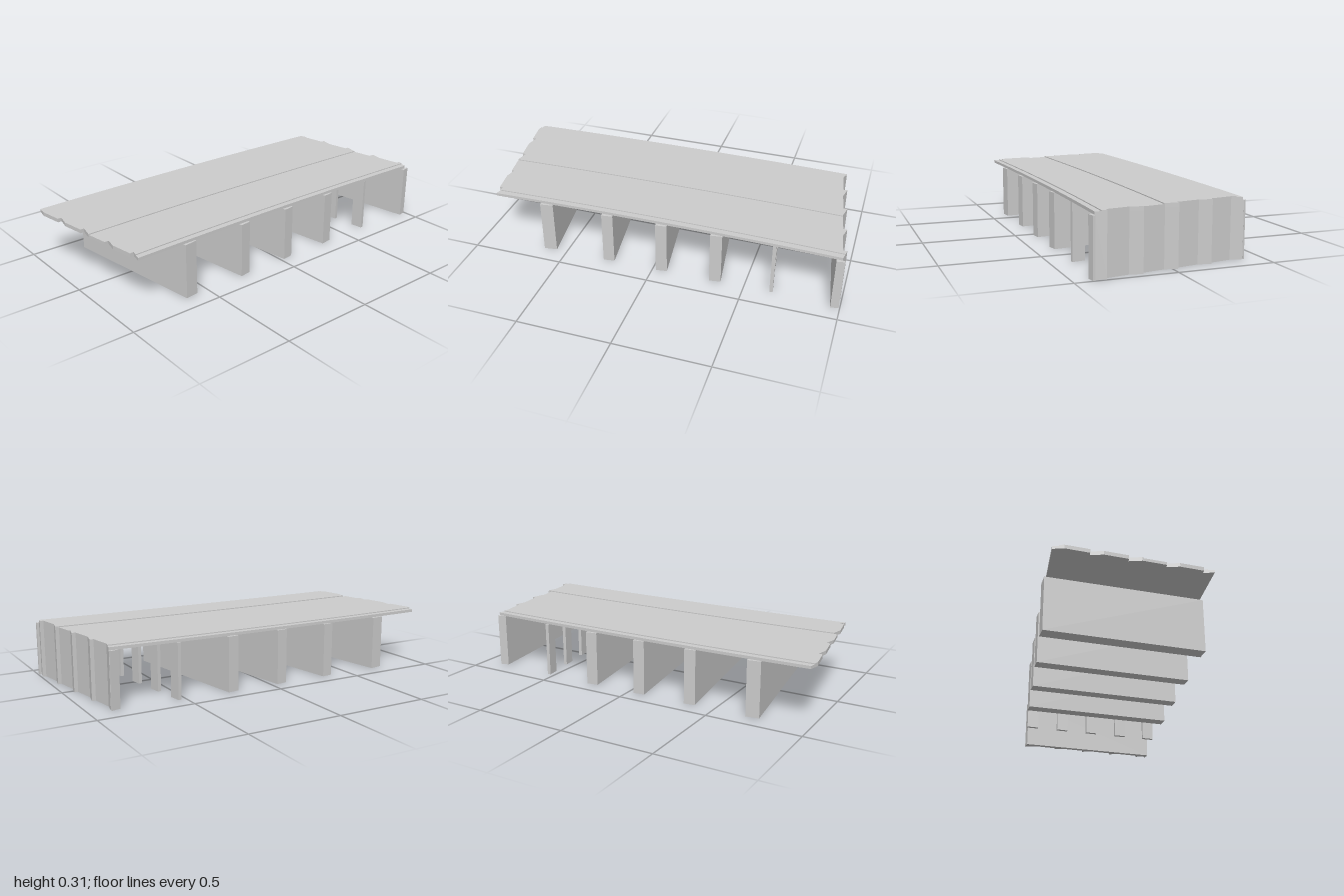
import * as THREE from 'three';

const material = new THREE.MeshStandardMaterial({ color: 0xcccccc });
const SKEW = 0.138; // plan angle of the crossing
const SOFFIT = 0.29; // underside of the deck

function add(parent, geometry, name) {
  const mesh = new THREE.Mesh(geometry, material);
  mesh.name = name;
  parent.add(mesh);
  return mesh;
}

// Upright prism over a plan outline given as [x, z] pairs
function prism(outline, y0, y1) {
  const shape = new THREE.Shape(outline.map(([x, z]) => new THREE.Vector2(x, -z)));
  const geometry = new THREE.ExtrudeGeometry(shape, { depth: y1 - y0, bevelEnabled: false });
  return geometry.rotateX(-Math.PI / 2).translate(0, y0, 0);
}

// Saw-toothed end line, running from back to front
function teeth(x0) {
  const points = [];
  for (let k = -1; k <= 3; k++) {
    const x = x0 + 0.0253 * k;
    const z = -0.21 + 0.185 * k;
    points.push([x, z], [x + 0.02, z], [x + 0.006, z + 0.065]);
  }
  return points;
}

// The part of a toothed line between two depths, with interpolated ends
function clip(line, za, zb) {
  const at = (z) => {
    for (let i = 1; i < line.length; i++) {
      const [xa, a] = line[i - 1];
      const [xb, b] = line[i];
      if (b > a && z >= a && z <= b) return [xa + ((xb - xa) * (z - a)) / (b - a), z];
    }
    return [line[0][0], z];
  };
  return [at(za), ...line.filter(([, z]) => z > za && z < zb), at(zb)];
}

// Straight plan line bowed gently towards the back at mid-span
function bowed([xa, za], [xb, zb]) {
  const points = [];
  const n = 16;
  for (let i = 1; i < n; i++) {
    const t = i / n;
    points.push([xa + (xb - xa) * t, za + (zb - za) * t - 0.016 * 4 * t * (1 - t)]);
  }
  return points;
}

function createDeck() {
  const deck = new THREE.Group();
  deck.name = 'deck';
  const right = teeth(-0.977);
  const left = teeth(0.897);
  // Lengthwise strips: back edge, wide lane, sunken track, front lane, front edge
  const strips = [
    ['backEdge', -0.387, -0.355, 0.305],
    ['backLane', -0.355, 0.045, 0.31],
    ['sunkenTrack', 0.045, 0.163, 0.305],
    ['frontLane', 0.163, 0.37, 0.31],
    ['frontEdge', 0.37, 0.4, 0.305],
  ];
  for (const [name, za, zb, top] of strips) {
    const r = clip(right, za, zb);
    const l = clip(left, za, zb).reverse();
    const outline = [
      ...r,
      ...bowed(r[r.length - 1], l[0]),
      ...l,
      ...bowed(l[l.length - 1], r[0]),
    ];
    add(deck, prism(outline, SOFFIT, top), name);
  }
  return deck;
}

export function createModel() {
  const model = new THREE.Group();
  model.name = 'bridge';
  model.add(createDeck());

  // Skewed wall piers: centre x, centre z, thickness
  const piers = [
    [-0.652, -0.003, 0.07],
    [-0.306, -0.006, 0.06],
    [-0.007, -0.008, 0.06],
    [0.288, -0.01, 0.062],
  ];
  for (const [x, z, thickness] of piers) {
    const pier = add(model, new THREE.BoxGeometry(thickness, SOFFIT, 0.82), 'wallPier');
    pier.position.set(x, SOFFIT / 2, z);
    pier.rotation.y = SKEW;
  }

  // Row of slender columns along the same skew
  const columns = new THREE.Group();
  columns.name = 'columnRow';
  for (let i = -2; i <= 2; i++) {
    const column = add(columns, new THREE.BoxGeometry(0.018, SOFFIT, 0.066), 'column');
    column.position.set(0, SOFFIT / 2, i * 0.185);
  }
  columns.position.set(0.589, 0, -0.008);
  columns.rotation.y = SKEW;
  model.add(columns);

  // End wall: flat inside, toothed outside, with small returns at both ends
  const outer = clip(teeth(0.897), -0.392, 0.4);
  const wall = [
    [0.953, 0.418], [0.842, -0.392], [0.888, -0.403], [0.89, -0.393],
    ...outer,
    [0.994, 0.4], [0.995, 0.411],
  ];
  add(model, prism(wall, 0, SOFFIT), 'endWall');

  return model;
}
